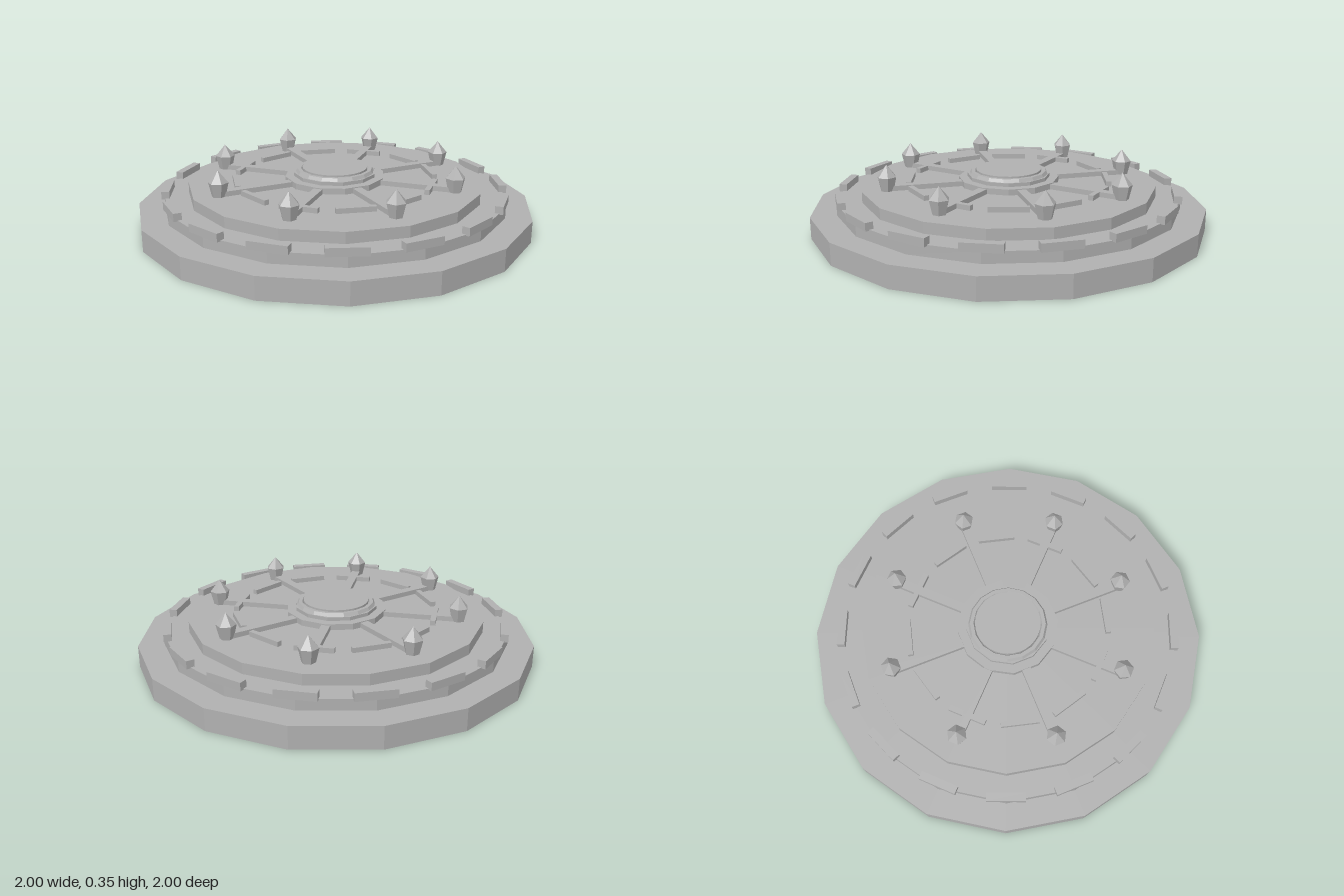
import * as THREE from 'three';

const stone = new THREE.MeshStandardMaterial({ color: 0xb0b0b0, flatShading: true });
stone.name = 'grey stone';

function add(parent, name, geometry, x = 0, y = 0, z = 0) {
  const mesh = new THREE.Mesh(geometry, stone);
  mesh.name = name;
  mesh.position.set(x, y, z);
  parent.add(mesh);
  return mesh;
}

// Prism standing between two heights
function tier(parent, name, radius, y0, y1, sides) {
  return add(parent, name, new THREE.CylinderGeometry(radius, radius, y1 - y0, sides), 0, (y0 + y1) / 2, 0);
}

// Repeats a part around the vertical axis; each copy is built facing +z
function around(parent, name, count, build) {
  for (let i = 0; i < count; i++) {
    const arm = new THREE.Group();
    arm.name = name + (i + 1);
    arm.rotation.y = (i * Math.PI * 2) / count;
    build(arm);
    parent.add(arm);
  }
}

export function createModel() {
  const model = new THREE.Group();
  model.name = 'roundPlatform';

  // Stepped base
  tier(model, 'baseTier', 1, 0, 0.11, 16);
  tier(model, 'middleTier', 0.87, 0.11, 0.165, 16);
  tier(model, 'upperTier', 0.745, 0.165, 0.22, 16);

  // Rim blocks
  const block = new THREE.BoxGeometry(0.19, 0.04, 0.04);
  around(model, 'rimBlock', 16, (g) => add(g, 'block', block, 0, 0.18, 0.85));

  // Hub with raised ring and centre disc
  tier(model, 'hub', 0.255, 0.22, 0.25, 12);
  tier(model, 'hubStep', 0.21, 0.25, 0.268, 12);
  const ring = add(model, 'hubRing', new THREE.TorusGeometry(0.182, 0.018, 6, 16), 0, 0.268, 0);
  ring.rotation.x = Math.PI / 2;
  tier(model, 'centreDisc', 0.165, 0.25, 0.29, 32);

  // Spokes, each ending in a crystal
  const spoke = new THREE.BoxGeometry(0.045, 0.025, 0.4);
  const shaft = new THREE.CylinderGeometry(0.05, 0.034, 0.07, 6, 1);
  const tip = new THREE.ConeGeometry(0.05, 0.06, 6);
  shaft.rotateY(Math.PI / 6);
  tip.rotateY(Math.PI / 6);
  around(model, 'spokeArm', 8, (g) => {
    add(g, 'spoke', spoke, 0, 0.2325, 0.42);
    add(g, 'crystalShaft', shaft, 0, 0.255, 0.62);
    add(g, 'crystalTip', tip, 0, 0.32, 0.62);
  });

  // Ring of short raised bars
  const bar = new THREE.BoxGeometry(0.19, 0.025, 0.026);
  around(model, 'runeBar', 12, (g) => add(g, 'bar', bar, 0, 0.2325, 0.502));

  return model;
}
